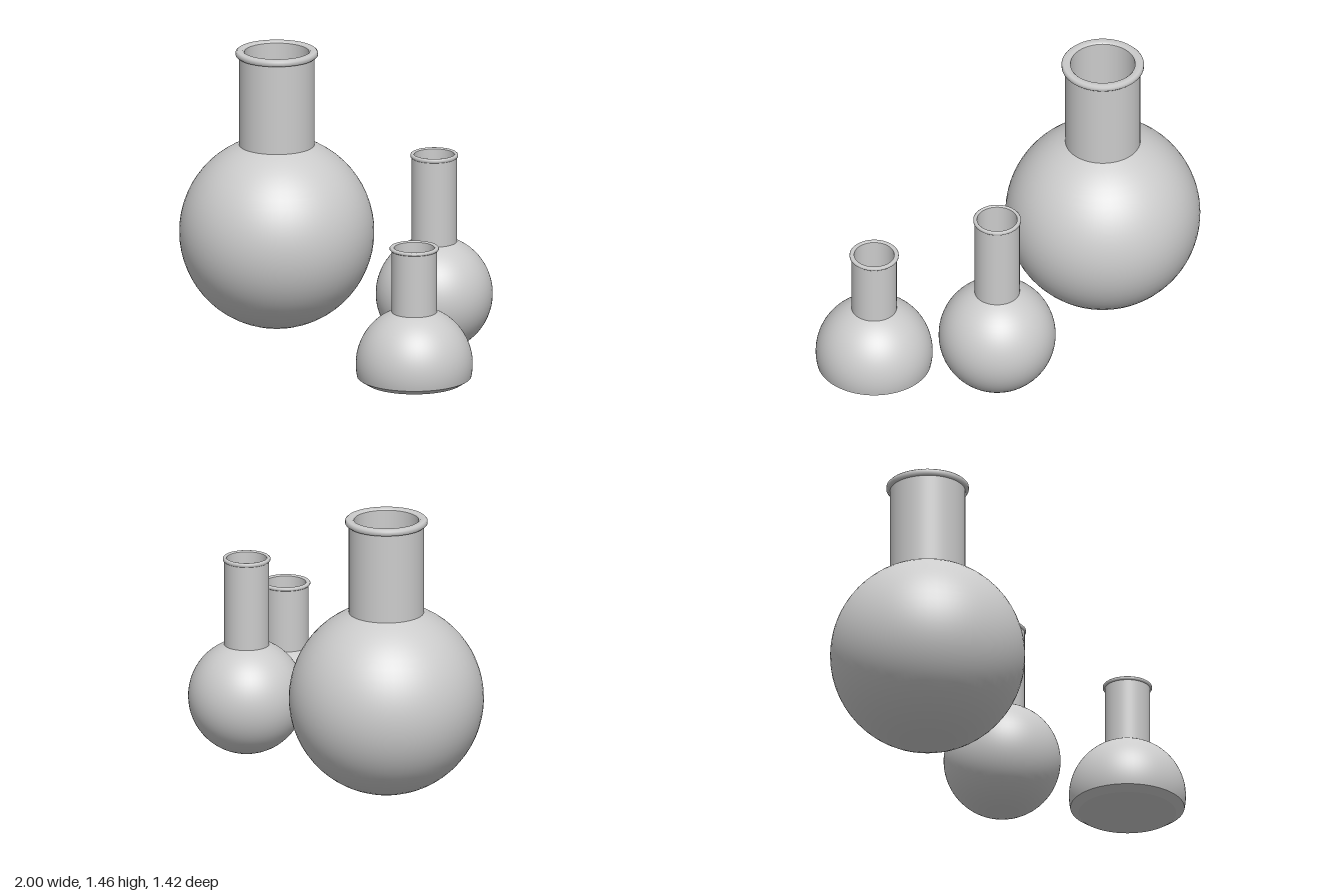
import * as THREE from 'three';

const SEGMENTS = 64;
const material = new THREE.MeshStandardMaterial({ color: 0xcccccc });

// Profiles running upwards face outwards, downwards face inwards.
function turned(name, points) {
  const profile = points.map(([r, y]) => new THREE.Vector2(Math.max(r, 0), y));
  const mesh = new THREE.Mesh(new THREE.LatheGeometry(profile, SEGMENTS), material);
  mesh.name = name;
  return mesh;
}

// Points on a circular arc around (0, cy), angles measured from the equator.
function arc(radius, cy, from, to, steps = 28) {
  return Array.from({ length: steps + 1 }, (_, i) => {
    const a = from + ((to - from) * i) / steps;
    return [radius * Math.cos(a), cy + radius * Math.sin(a)];
  });
}

function flask({ name, x, z, radius, cy, neck, rim, rimBottom, top, wall, base }) {
  const group = new THREE.Group();
  group.name = name;
  group.position.set(x, 0, z);

  // Bulb, either a full sphere or cut off above a flat base
  const neckAngle = Math.acos(neck / radius);
  const cutAngle = base ? Math.asin((base.bevelTop - cy) / radius) : -Math.PI / 2;
  group.add(turned('bulb', arc(radius, cy, cutAngle, neckAngle)));
  if (base) {
    const edge = radius * Math.cos(cutAngle);
    group.add(turned('baseBevel', [[base.radius, base.y], [edge, base.bevelTop]]));
    group.add(turned('baseDisc', [[0, base.y], [base.radius, base.y]]));
  }

  // Straight neck
  const neckBottom = cy + radius * Math.sin(neckAngle);
  group.add(turned('neck', [[neck, neckBottom], [neck, rimBottom]]));

  // Lip with softened corners
  const bore = neck - wall;
  const b = (top - rimBottom) * 0.25;
  group.add(turned('lip', [
    [neck, rimBottom], [rim - b, rimBottom], [rim, rimBottom + b],
    [rim, top - b], [rim - b, top], [bore + b, top], [bore, top - b],
  ]));

  // Hollow interior: bore of the neck, then the inside of the bulb
  const inner = radius - wall;
  const boreAngle = Math.acos(bore / inner);
  group.add(turned('neckBore', [[bore, top - b], [bore, cy + inner * Math.sin(boreAngle)]]));
  const floorY = base ? base.bevelTop : null;
  const innerCut = base ? Math.asin((floorY - cy) / inner) : -Math.PI / 2;
  group.add(turned('bulbInside', arc(inner, cy, boreAngle, innerCut)));
  if (base) group.add(turned('insideFloor', [[inner * Math.cos(innerCut), floorY], [0, floorY]]));
  return group;
}

export function createModel() {
  const model = new THREE.Group();
  model.name = 'flasks';
  model.add(
    flask({
      name: 'largeRoundFlask', x: -0.5, z: -0.21, radius: 0.5, cy: 0.5,
      neck: 0.193, rim: 0.211, rimBottom: 1.43, top: 1.463, wall: 0.027,
    }),
    flask({
      name: 'mediumRoundFlask', x: 0.457, z: -0.188, radius: 0.3, cy: 0.314,
      neck: 0.116, rim: 0.122, rimBottom: 1.037, top: 1.058, wall: 0.013,
    }),
    flask({
      name: 'smallFlatFlask', x: 0.698, z: 0.407, radius: 0.3, cy: 0.116,
      neck: 0.116, rim: 0.126, rimBottom: 0.72, top: 0.737, wall: 0.013,
      base: { y: 0.022, radius: 0.25, bevelTop: 0.05 },
    }),
  );
  return model;
}
